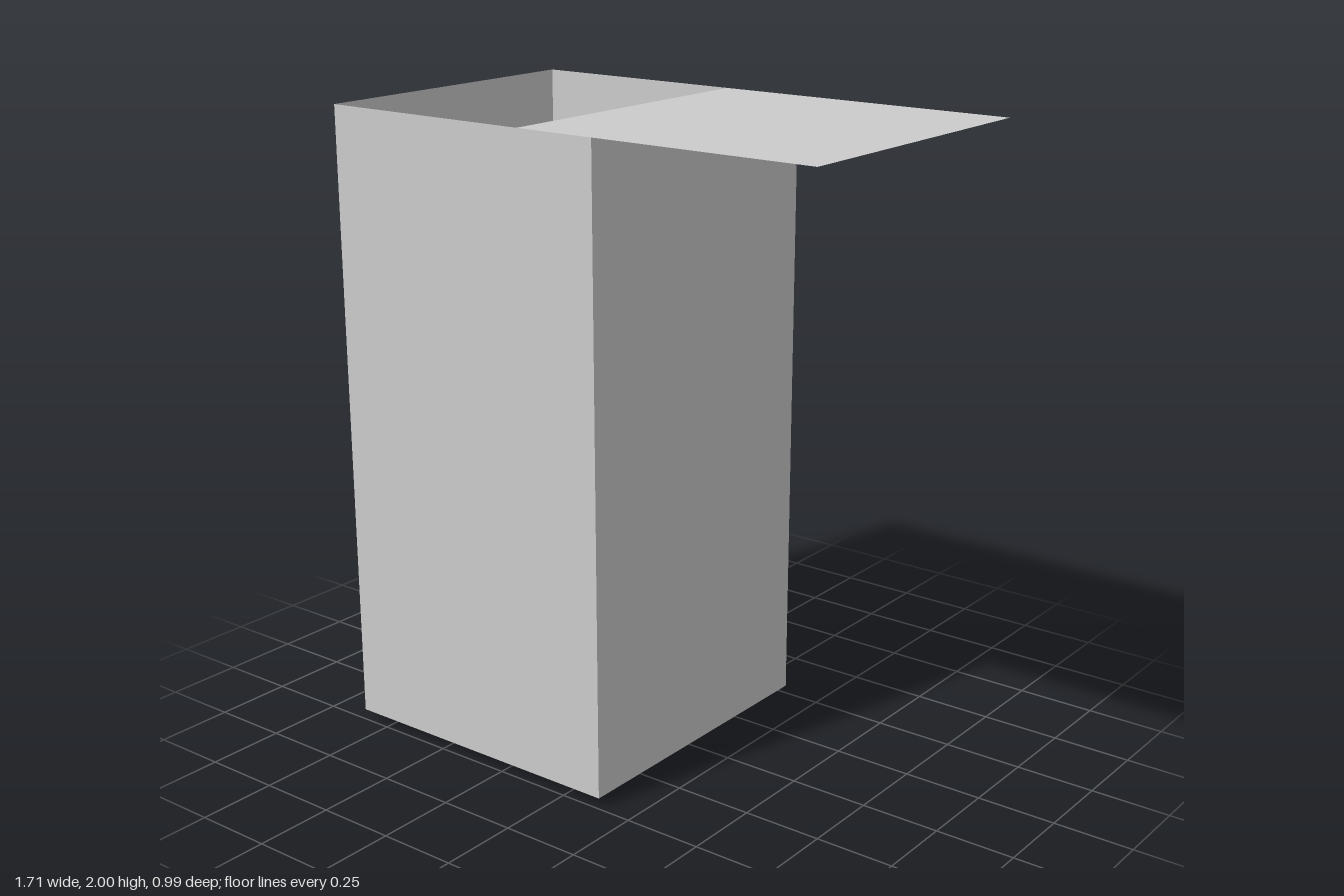
import * as THREE from 'three';

export function createModel() {
  const model = new THREE.Group();
  const grey = new THREE.MeshStandardMaterial({ color: 0xcccccc, side: THREE.DoubleSide, flatShading: true });
  grey.name = 'plain grey';

  const size = 0.986, half = size / 2;
  const bottom = 0.03, top = 2, height = top - bottom;
  const boxX = -0.36;

  const add = (name, geometry, x, y, z) => {
    const mesh = new THREE.Mesh(geometry, grey);
    mesh.name = name;
    mesh.position.set(x, y, z);
    model.add(mesh);
    return mesh;
  };

  // Four thin walls, turned around the centre of the open box
  ['frontWall', 'leftWall', 'backWall', 'rightWall'].forEach((name, i) => {
    const angle = i * Math.PI / 2;
    add(name, new THREE.PlaneGeometry(size, height),
      boxX + Math.sin(angle) * half, bottom + height / 2, Math.cos(angle) * half).rotation.y = angle;
  });

  // Floor, and the lid slid aside along x
  const sheet = new THREE.PlaneGeometry(size, size).rotateX(-Math.PI / 2);
  add('floor', sheet.clone().rotateX(Math.PI), boxX, bottom, 0);
  add('lid', sheet, -boxX, top, 0);

  // Balls inside; the middle one pokes through the floor
  const ball = (name, r, x, y, z) => add(name, new THREE.SphereGeometry(r, 32, 16), x, y, z);
  ball('middleBall', 0.122, boxX, 0.122, 0);
  ball('sideBall', 0.122, -0.705, 0.16, 0.145);
  ball('largeBall', 0.195, boxX, 0.24, 0.295);

  return model;
}
